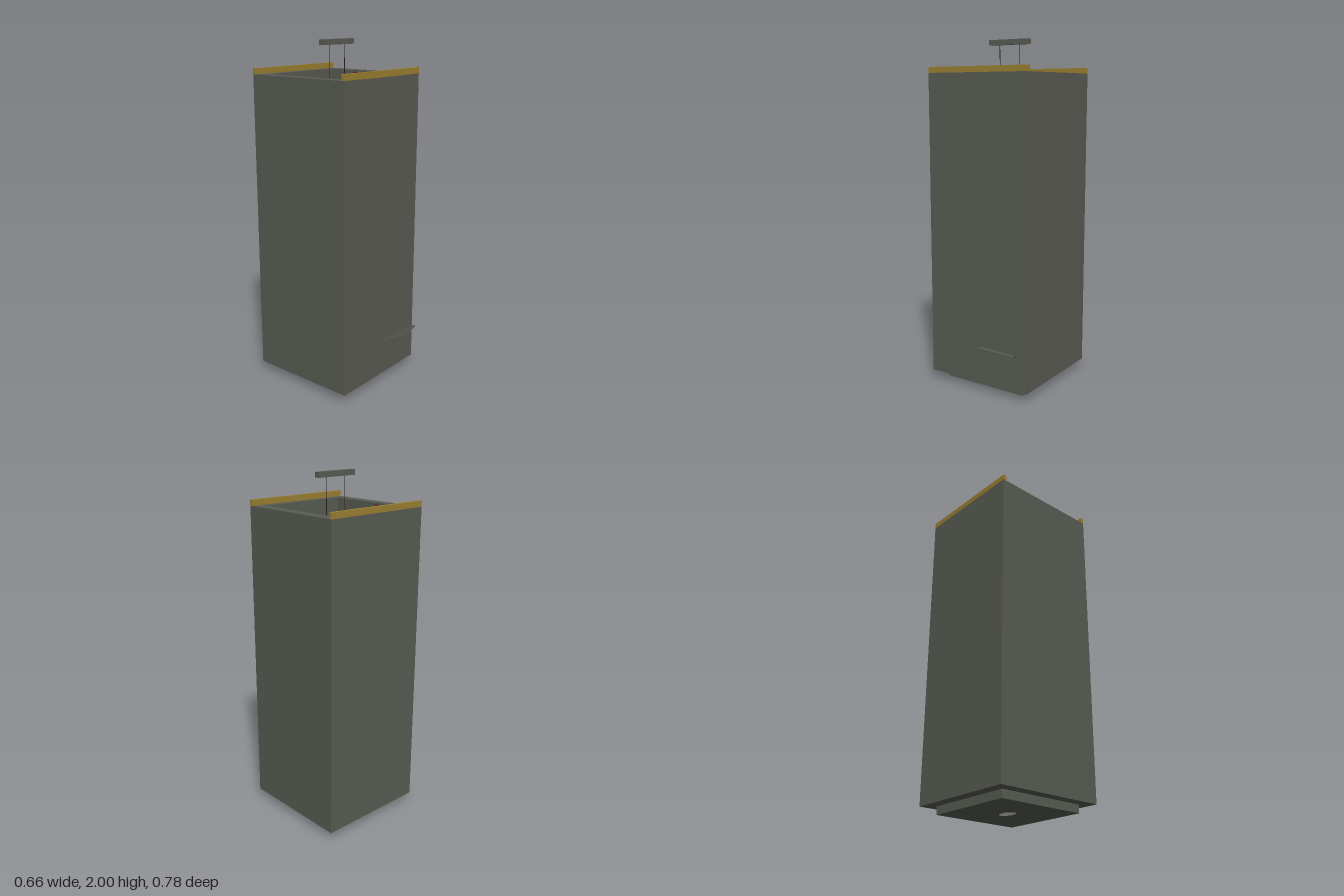
import * as THREE from 'three';

const mat = (name, color, extra = {}) => {
  const m = new THREE.MeshStandardMaterial({ color, ...extra });
  m.name = name;
  return m;
};

export function createModel() {
  const grey = mat('stone grey', 0x595c53);
  const gold = mat('old gold', 0x9c8132);
  const red = mat('dark red', 0x692235);
  const cream = mat('cream', 0xe6decf, { flatShading: true });
  const dark = mat('cord black', 0x242522);
  const model = new THREE.Group();
  const CZ = -0.06; // depth of the shaft axis

  const add = (name, geometry, material, x = 0, y = 0, z = 0) => {
    const mesh = new THREE.Mesh(geometry, material);
    mesh.name = name;
    mesh.position.set(x, y, z);
    model.add(mesh);
    return mesh;
  };
  const box = (name, m, w, h, d, x, y, z) => add(name, new THREE.BoxGeometry(w, h, d), m, x, y, z);
  const flat = (points, depth) => {
    const g = new THREE.ExtrudeGeometry(
      new THREE.Shape(points.map(([x, z]) => new THREE.Vector2(x, -z))),
      { depth, bevelEnabled: false });
    return g.rotateX(-Math.PI / 2);
  };

  // Open square shaft
  const square = (S, r) => new S([[-r, -r], [r, -r], [r, r], [-r, r]].map(p => new THREE.Vector2(...p)));
  const wall = square(THREE.Shape, 0.33);
  wall.holes.push(square(THREE.Path, 0.265));
  const shaft = new THREE.ExtrudeGeometry(wall, { depth: 1.76, bevelEnabled: false });
  add('shaft', shaft.rotateX(-Math.PI / 2), grey, 0, 0.05, CZ);
  box('floorPlinth', grey, 0.53, 0.046, 0.53, 0, 0.028, CZ);

  // Gold trims on the front and back rims
  for (const z of [-0.38, 0.26]) box('rimTrim', gold, 0.66, 0.035, 0.02, 0, 1.8255, z);

  // Wall rails, control bar and the cords below it
  box('controlBar', grey, 0.265, 0.03, 0.031, 0, 1.985, -0.059);
  for (const s of [-1, 1]) {
    box('wallRail', red, 0.017, 1.75, 0.026, s * 0.2565, 0.926, -0.126);
    const path = new THREE.LineCurve3(
      new THREE.Vector3(s * 0.067, 1.975, -0.058), new THREE.Vector3(s * 0.055, 0.14, -0.08));
    add('cord', new THREE.TubeGeometry(path, 1, 0.002, 6), dark);
  }

  // Crumpled cloth in two overlapping layers on the floor
  add('clothLower', flat([[-0.23, -0.11], [-0.185, -0.21], [-0.12, -0.245], [0.1, -0.24], [0.215, -0.135],
    [0.22, 0], [0.18, 0.085], [0, 0.15], [-0.1, 0.14], [-0.185, 0.085], [-0.215, -0.02]], 0.02), red, 0, 0.05);
  add('clothUpper', flat([[-0.01, -0.292], [-0.065, -0.28], [-0.118, -0.258], [-0.228, -0.115], [-0.2, 0.03],
    [-0.18, 0.09], [-0.095, 0.157], [0, 0.166], [0.1, 0.15], [0.185, 0.08], [0.222, 0], [0.23, -0.125],
    [0.1, -0.257]], 0.015), red, 0, 0.07);

  // Faceted cream body, its lowest tip just through the floor
  const body = new THREE.SphereGeometry(1, 14, 8).scale(0.19, 0.085, 0.118);
  add('roundBody', body, cream, 0, 0.085, CZ);

  // Gold crescent on the body
  add('crescent', flat([[-0.07, -0.118], [-0.04, -0.143], [0, -0.152], [0.04, -0.143], [0.07, -0.118],
    [0.03, -0.131], [0, -0.135], [-0.03, -0.131]], 0.009), gold, 0, 0.148);

  // Tilted plank sticking out through the front wall
  const u = new THREE.Vector3(0.165, 0.165, 0.38).normalize();
  const v = new THREE.Vector3(0.185, -0.035, -0.067);
  v.addScaledVector(u, -v.dot(u)).normalize();
  const n = new THREE.Vector3().crossVectors(u, v);
  const plank = box('plank', grey, 0.2, 0.008, 0.446, 0.11, 0.216, 0.168);
  plank.quaternion.setFromRotationMatrix(new THREE.Matrix4().makeBasis(v, n, u));

  return model;
}
